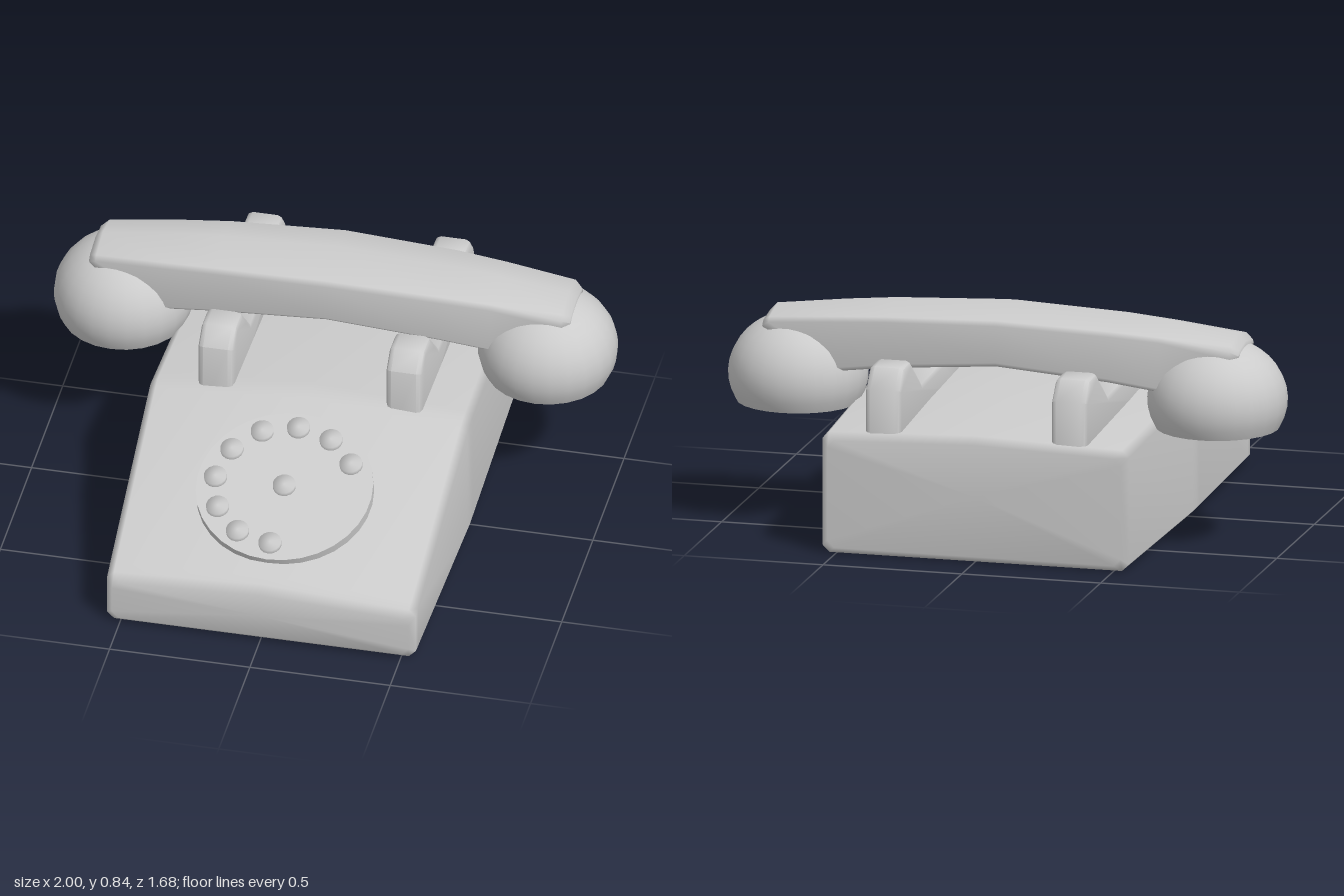
import * as THREE from 'three';
import { mergeVertices, toCreasedNormals } from 'three/addons/utils/BufferGeometryUtils.js';

const material = new THREE.MeshStandardMaterial({ color: 0xcccccc });

function part(name, geometry, parent) {
  const mesh = new THREE.Mesh(geometry, material);
  mesh.name = name;
  parent.add(mesh);
  return mesh;
}

// Skins closed cross-sections (counter-clockwise seen from +z), ordered from +z to -z.
function loft(sections) {
  const n = sections[0].length;
  const positions = [];
  const index = [];
  sections.forEach((s) => s.forEach((p) => positions.push(...p)));
  for (let s = 0; s < sections.length - 1; s++) {
    for (let i = 0; i < n; i++) {
      const a = s * n + i, a2 = s * n + (i + 1) % n;
      index.push(a, a + n, a2, a2, a + n, a2 + n);
    }
  }
  // End caps fan out from the middle of each end section
  [0, sections.length - 1].forEach((s, end) => {
    const c = positions.length / 3;
    for (let k = 0; k < 3; k++) positions.push(sections[s].reduce((sum, p) => sum + p[k], 0) / n);
    for (let i = 0; i < n; i++) {
      const a = s * n + i, a2 = s * n + (i + 1) % n;
      if (end) index.push(c, a2, a); else index.push(c, a, a2);
    }
  });
  const geometry = new THREE.BufferGeometry();
  geometry.setAttribute('position', new THREE.Float32BufferAttribute(positions, 3));
  geometry.setIndex(index);
  geometry.computeVertexNormals();
  return geometry;
}

// Gabled, chamfered section: half width w, bottom y0, edge height ys, ridge height yc
function section(z, w, y0, ys, yc, b) {
  const half = [[w - b, y0], [w, y0 + b], [w, ys - b], [w - b, ys]];
  return [
    ...half.map(([x, y]) => [x, y, z]),
    [0, yc, z],
    ...half.reverse().map(([x, y]) => [-x, y, z]),
  ];
}

function addBody(phone) {
  const stations = [
    [0.84, 0.528, 0.022, 0.17, 0.195],
    [0.815, 0.55, 0, 0.197, 0.225],
    [0.78, 0.551, 0, 0.21, 0.238],
    [0.07, 0.568, 0, 0.462, 0.5],
    [0.03, 0.569, 0, 0.472, 0.51],
    [-0.02, 0.568, 0, 0.47, 0.506],
    [-0.815, 0.552, 0, 0.432, 0.45],
    [-0.84, 0.528, 0.022, 0.405, 0.422],
  ];
  part('body', loft(stations.map((s) => section(...s, 0.025))), phone);
}

function addDial(phone) {
  const dial = new THREE.Group();
  dial.name = 'dial';
  dial.position.set(0, 0.385, 0.445);
  dial.rotation.x = 0.357;
  phone.add(dial);
  part('dialPlate', new THREE.CylinderGeometry(0.31, 0.31, 0.05, 32), dial).position.y = -0.025;

  // Small studs with softened edges: one in the middle, nine around
  let stud = new THREE.CylinderGeometry(0.04, 0.04, 0.034, 16);
  stud.deleteAttribute('uv');
  stud.deleteAttribute('normal');
  stud = mergeVertices(stud);
  stud.computeVertexNormals();
  part('dialCentre', stud, dial);
  for (let i = -6; i <= 2; i++) {
    const angle = i * Math.PI / 6;
    part('dialStud', stud, dial).position.set(0.245 * Math.sin(angle), 0, -0.245 * Math.cos(angle));
  }
}

function addCradle(phone) {
  // Side profile (z, y) with a horn at each end and a valley for the handset
  const bevel = 0.02;
  const profile = [
    [0.025, 0.4], [0.025, 0.635], [-0.025, 0.68], [-0.1, 0.68], [-0.16, 0.62], [-0.24, 0.54],
    [-0.52, 0.53], [-0.6, 0.59], [-0.675, 0.645], [-0.75, 0.64], [-0.797, 0.585], [-0.797, 0.38],
  ];
  const shape = new THREE.Shape(profile.map(([z, y]) => new THREE.Vector2(-z, y)));
  const width = 0.128;
  let geometry = new THREE.ExtrudeGeometry(shape, {
    depth: width - 2 * bevel, bevelSize: bevel, bevelThickness: bevel, bevelSegments: 2,
  });
  geometry.translate(0, 0, bevel - width / 2);
  geometry.rotateY(Math.PI / 2);
  geometry = toCreasedNormals(geometry, 0.85);
  for (const side of [-1, 1]) {
    part(side > 0 ? 'leftCradle' : 'rightCradle', geometry, phone).position.x = side * 0.335;
  }
}

function addHandset(phone) {
  const handset = new THREE.Group();
  handset.name = 'handset';
  handset.position.z = -0.382;
  phone.add(handset);

  // Arched grip, lofted outward from the middle and mirrored
  const half = [
    [0, 0.172, 0.632, 0.795, 0.836],
    [0.4, 0.16, 0.598, 0.78, 0.817],
    [0.58, 0.148, 0.572, 0.767, 0.8],
    [0.83, 0.125, 0.685, 0.745, 0.77],
    [0.857, 0.105, 0.695, 0.728, 0.742],
  ];
  const stations = [...half.slice(1).reverse(), ...half.map(([x, ...r]) => [-x, ...r])];
  const grip = loft(stations.map((s) => section(...s, 0.016)));
  grip.rotateY(Math.PI / 2);
  part('grip', grip, handset);

  // Ear and mouth cups: flattened spheres cut flat underneath
  const points = [[0, -0.1], [0.205, -0.1]];
  const start = Math.asin(-0.1 / 0.215);
  for (let i = 0; i <= 12; i++) {
    const a = start + (Math.PI / 2 - start) * i / 12;
    points.push([0.245 * Math.cos(a), 0.215 * Math.sin(a)]);
  }
  points[points.length - 1][0] = 0;
  const cup = toCreasedNormals(
    new THREE.LatheGeometry(points.map(([r, y]) => new THREE.Vector2(r, y)), 24), 0.6);
  for (const side of [-1, 1]) {
    part(side > 0 ? 'leftCup' : 'rightCup', cup, handset).position.set(side * 0.755, 0.53, 0);
  }
}

export function createModel() {
  const phone = new THREE.Group();
  phone.name = 'telephone';
  addBody(phone);
  addDial(phone);
  addCradle(phone);
  addHandset(phone);
  return phone;
}
